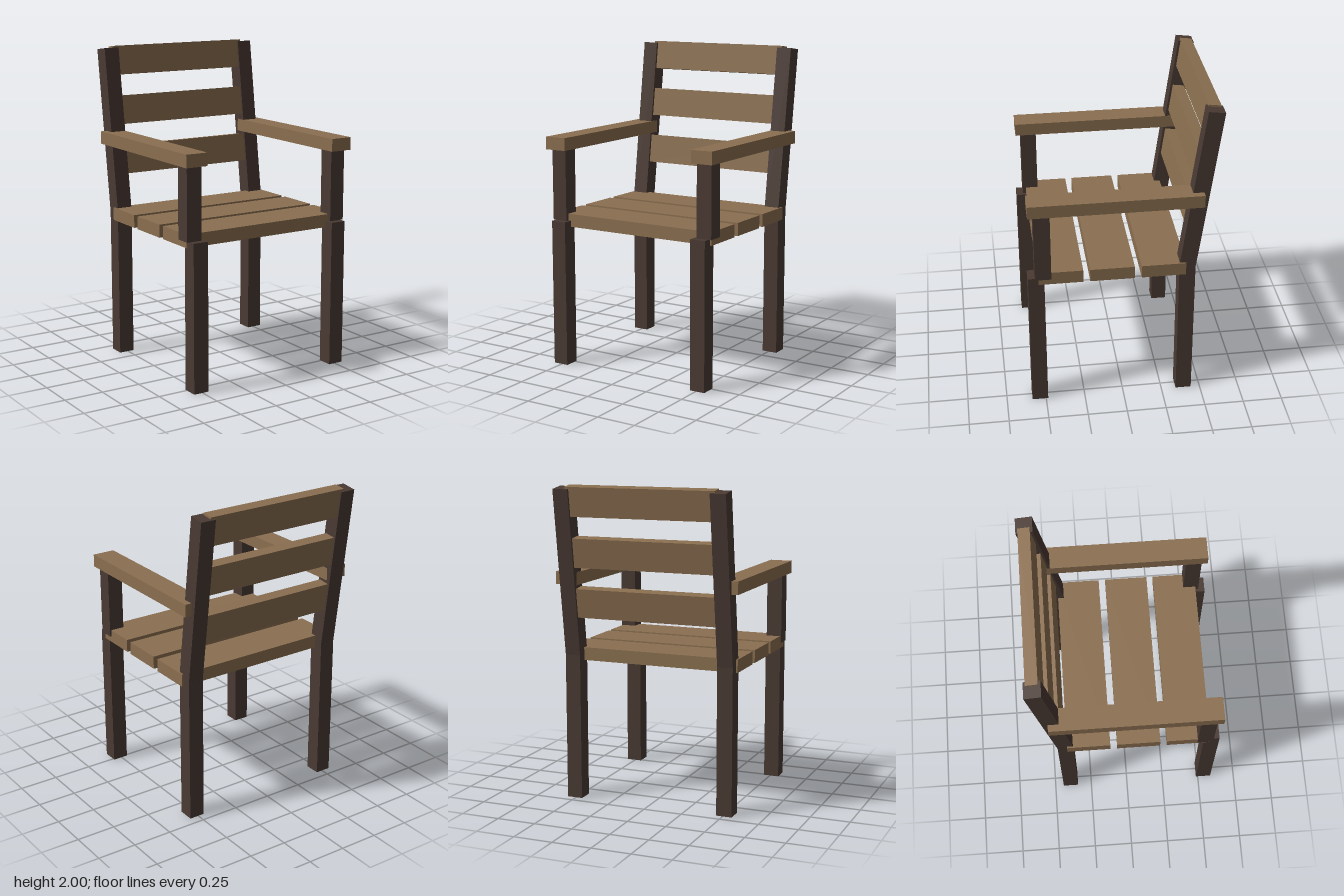
import * as THREE from 'three';

export function createModel() {
  const model = new THREE.Group();
  const slatWood = new THREE.MeshStandardMaterial({ color: 0x8b6f50 });
  slatWood.name = 'slatWood';
  const frameWood = new THREE.MeshStandardMaterial({ color: 0x4a3a33 });
  frameWood.name = 'frameWood';

  const board = (name, material, size, position, tilt = 0) => {
    const mesh = new THREE.Mesh(new THREE.BoxGeometry(...size), material);
    mesh.name = name;
    mesh.position.set(...position);
    mesh.rotation.x = -tilt;
    model.add(mesh);
  };

  // The backrest leans back along a line through its lower pivot
  const lean = Math.atan(0.145 / 1.06);
  const leanZ = (y) => -0.39 - (y - 0.925) * Math.tan(lean);

  // Legs, armrests and uprights, mirrored on both sides
  for (const [side, s] of [['left', 1], ['right', -1]]) {
    board(`${side}FrontLeg`, frameWood, [0.1, 0.93, 0.1], [s * 0.508, 0.465, 0.537]);
    board(`${side}BackLeg`, frameWood, [0.1, 0.93, 0.1], [s * 0.508, 0.465, -0.393]);
    board(`${side}ArmPost`, frameWood, [0.1, 0.45, 0.1], [s * 0.527, 1.155, 0.495]);
    board(`${side}Armrest`, slatWood, [0.144, 0.08, 1.057], [s * 0.528, 1.42, 0.05]);
    board(`${side}BackUpright`, frameWood, [0.1, 1.07, 0.102], [s * 0.508, 1.453, leanZ(1.453)], lean);
  }

  // Seat slats
  [0.387, 0.071, -0.246].forEach((z, i) =>
    board(`seatSlat${i + 1}`, slatWood, [1.136, 0.082, 0.274], [0, 0.932, z]));

  // Tilted backrest slats
  [1.271, 1.588, 1.904].forEach((y, i) =>
    board(`backSlat${i + 1}`, slatWood, [0.97, 0.184, 0.074], [0, y, leanZ(y)], lean));

  return model;
}
